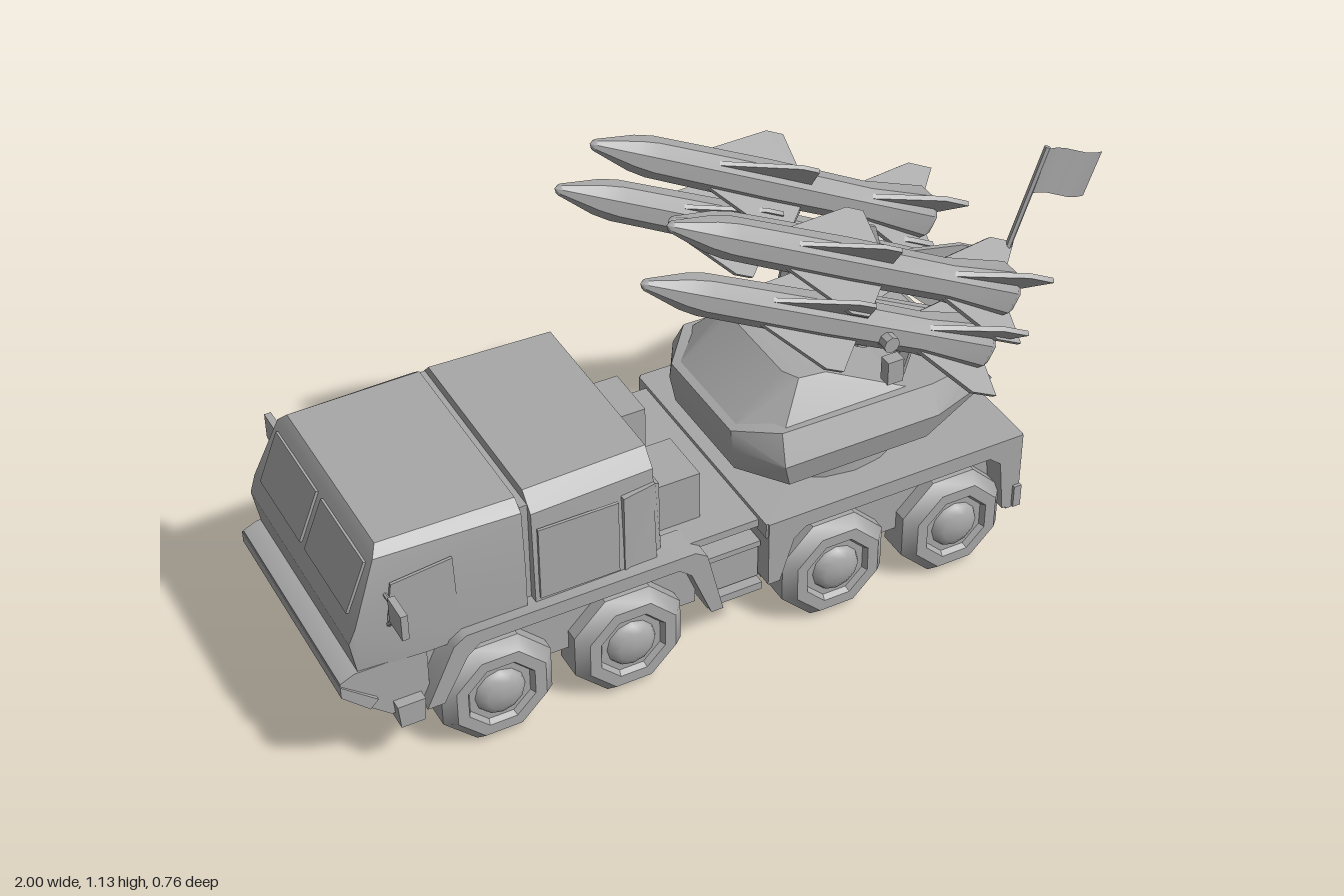
import * as THREE from 'three';
import { toCreasedNormals } from 'three/addons/utils/BufferGeometryUtils.js';
import { ConvexGeometry } from 'three/addons/geometries/ConvexGeometry.js';

export function createModel() {
  const root = new THREE.Group();
  root.name = 'missileTruck';
  const grey = new THREE.MeshStandardMaterial({ color: 0xa8a8a8, side: THREE.DoubleSide });
  grey.name = 'plain grey';

  const add = (name, geo, parent = root, crease = 0.6) => {
    const m = new THREE.Mesh(toCreasedNormals(geo, crease), grey);
    m.name = name;
    parent.add(m);
    return m;
  };
  const box = (name, x0, x1, y0, y1, z0, z1, parent) =>
    add(name, new THREE.BoxGeometry(x1 - x0, y1 - y0, Math.abs(z1 - z0))
      .translate((x0 + x1) / 2, (y0 + y1) / 2, (z0 + z1) / 2), parent);
  // side outline in x, y pushed from z0 to z1
  const prism = (name, pts, z0, z1, parent) => {
    const shape = new THREE.Shape(pts.map(p => new THREE.Vector2(p[0], p[1])));
    const g = new THREE.ExtrudeGeometry(shape, { depth: z1 - z0, bevelEnabled: false });
    return add(name, g.translate(0, 0, z0), parent);
  };
  // convex block from points [x, y, half width]
  const hull = (name, pts, crease) => add(name, new ConvexGeometry(
    pts.flatMap(([x, y, z]) => [new THREE.Vector3(x, y, z), new THREE.Vector3(x, y, -z)])), root, crease);
  const rod = (name, a, b, r, parent, sides = 6) => {
    const p = new THREE.Vector3(...a), d = new THREE.Vector3(...b).sub(p);
    const m = add(name, new THREE.CylinderGeometry(r, r, d.length(), sides), parent);
    m.position.copy(p).addScaledVector(d, 0.5);
    m.quaternion.setFromUnitVectors(new THREE.Vector3(0, 1, 0), d.normalize());
    return m;
  };
  const lathe = (pts, sides, phase = 0) =>
    new THREE.LatheGeometry(pts.map(p => new THREE.Vector2(p[0], p[1])), sides, phase);
  const sides = [1, -1];

  // Lower bodies
  prism('frontHull', [[-0.88, 0.14], [-0.14, 0.14], [-0.14, 0.335], [-0.95, 0.335], [-0.95, 0.21]], -0.25, 0.25);
  box('rearHull', 0.03, 0.66, 0.14, 0.33, -0.25, 0.25);
  box('rearDeck', 0.01, 0.69, 0.305, 0.345, -0.305, 0.305);
  box('rearPanel', 0.655, 0.688, 0.135, 0.345, -0.31, 0.31);
  box('middleFrame', -0.15, 0.04, 0.15, 0.33, -0.22, 0.22);
  box('middleDeck', -0.24, 0.02, 0.315, 0.335, -0.27, 0.27);

  // Fenders, steps and lamps on each side
  for (const s of sides) {
    const span = (a, b) => s > 0 ? [a, b] : [-b, -a];
    prism('frontFender', [[-0.82, 0.17], [-0.75, 0.32], [-0.72, 0.34], [-0.17, 0.34], [-0.14, 0.32], [-0.10, 0.15],
      [-0.13, 0.15], [-0.18, 0.28], [-0.21, 0.305], [-0.69, 0.305], [-0.72, 0.28], [-0.78, 0.17]], ...span(0.22, 0.31));
    prism('rearFender', [[0.015, 0.17], [0.015, 0.345], [0.688, 0.345], [0.688, 0.14], [0.645, 0.14], [0.63, 0.28],
      [0.60, 0.305], [0.11, 0.305], [0.08, 0.28], [0.045, 0.17]], ...span(0.22, 0.31));
    box('sideBox', -0.13, 0.01, 0.17, 0.26, s * 0.2, s * 0.27);
    box('step', -0.13, 0.01, 0.145, 0.165, s * 0.2, s * 0.29);
    box('ladderRung', -0.13, 0.01, 0.265, 0.28, s * 0.2, s * 0.28);
    box('tailLamp', 0.688, 0.695, 0.27, 0.318, s * 0.18, s * 0.247);
    box('sideMarker', 0.67, 0.69, 0.14, 0.2, s * 0.3, s * 0.318);
    prism('frontLamp', [[-0.88, 0.14], [-0.825, 0.14], [-0.82, 0.20], [-0.885, 0.20]], ...span(0.24, 0.305));
    box('equipmentBox', -0.24, -0.10, 0.335, 0.46, s * 0.06, s * 0.2);
  }

  // Wheels
  const tyre = lathe([[0, 0], [0.11, 0], [0.142, 0.025], [0.142, 0.098], [0.115, 0.125], [0.086, 0.125], [0.078, 0.112], [0, 0.112]], 8, Math.PI / 8);
  const hub = lathe([[0.062, 0.108], [0.055, 0.122], [0.038, 0.132], [0, 0.137]], 12);
  for (const x of [-0.645, -0.325, 0.2, 0.52]) for (const s of sides) {
    const wheel = new THREE.Group();
    wheel.name = 'wheel';
    add('tyre', tyre, wheel);
    add('hub', hub, wheel, 0.9);
    wheel.rotation.x = s * Math.PI / 2;
    wheel.position.set(x, 0.134, s * 0.183);
    root.add(wheel);
  }

  // Cab, rear cabin and front bumper
  hull('cab', [[-0.955, 0.31, 0.275], [-0.97, 0.40, 0.28], [-0.955, 0.44, 0.285], [-0.895, 0.59, 0.262], [-0.88, 0.612, 0.24],
    [-0.565, 0.612, 0.245], [-0.565, 0.59, 0.275], [-0.565, 0.44, 0.285], [-0.565, 0.31, 0.285], [-0.80, 0.31, 0.285]], 0.4);
  box('cabinGap', -0.58, -0.53, 0.32, 0.595, -0.262, 0.262);
  hull('rearCabin', [[-0.545, 0.33, 0.285], [-0.545, 0.58, 0.278], [-0.545, 0.62, 0.24], [-0.25, 0.62, 0.23],
    [-0.25, 0.58, 0.265], [-0.25, 0.33, 0.28]], 0.4);
  hull('cabinBack', [[-0.33, 0.33, 0.285], [-0.33, 0.54, 0.285], [-0.25, 0.545, 0.275], [-0.228, 0.52, 0.25], [-0.228, 0.33, 0.255]]);
  hull('bumper', [[-0.965, 0.315, 0.28], [-0.998, 0.30, 0.28], [-0.998, 0.27, 0.28], [-0.96, 0.225, 0.28], [-0.89, 0.165, 0.28], [-0.80, 0.165, 0.28], [-0.80, 0.315, 0.28]]);
  hull('bumperLip', [[-1.0, 0.295, 0.285], [-1.0, 0.265, 0.285], [-0.94, 0.21, 0.29], [-0.92, 0.23, 0.29]]);
  // windscreen panes follow the sloped front
  for (const s of sides) {
    const pane = box('windscreen', -0.004, 0.004, -0.065, 0.065, -0.115, 0.115);
    pane.position.set(-0.929, 0.512, s * 0.128);
    pane.rotation.z = -0.38;
    const z = s > 0 ? [0.28, 0.287] : [-0.287, -0.28];
    prism('sideDoor', [[-0.87, 0.53], [-0.73, 0.545], [-0.725, 0.40], [-0.77, 0.34], [-0.80, 0.41], [-0.885, 0.42]], ...z);
    prism('cabinHatch', [[-0.535, 0.35], [-0.345, 0.35], [-0.345, 0.54], [-0.535, 0.54]], ...(s > 0 ? [0.283, 0.29] : [-0.29, -0.283]));
    // mirror with its arm
    box('mirror', -0.888, -0.872, 0.455, 0.52, s * 0.31, s * 0.378);
    rod('mirrorArm', [-0.88, 0.41, s * 0.27], [-0.88, 0.46, s * 0.32], 0.006);
    rod('mirrorArm', [-0.88, 0.5, s * 0.26], [-0.88, 0.5, s * 0.32], 0.005);
  }

  // Turntable and turret
  add('turntable', new THREE.CylinderGeometry(0.235, 0.235, 0.05, 20).translate(0.28, 0.365, 0));
  hull('turretBase', [[0.02, 0.385, 0.14], [0.10, 0.385, 0.25], [0.46, 0.385, 0.25], [0.56, 0.385, 0.2],
    [0.01, 0.45, 0.15], [0.08, 0.45, 0.265], [0.48, 0.45, 0.265], [0.665, 0.445, 0.2],
    [0.01, 0.495, 0.14], [0.09, 0.52, 0.23], [0.48, 0.515, 0.23], [0.61, 0.505, 0.2]], 0.35);
  hull('turretTop', [[0.015, 0.49, 0.13], [0.09, 0.50, 0.23], [0.46, 0.50, 0.22], [0.15, 0.598, 0.12],
    [0.17, 0.598, 0.16], [0.24, 0.59, 0.16], [0.34, 0.545, 0.18]], 0.35);

  // Launcher frame tilted with the missiles
  const tilt = Math.asin(0.882);
  const dir = [0.882, -0.471];
  const frame = new THREE.Group();
  frame.name = 'launcherFrame';
  root.add(frame);
  for (const s of sides) {
    rod('launcherPost', [0.27, 0.55, s * 0.1], [0.32, 0.72, s * 0.12], 0.025, frame, 8);
    rod('launcherRail', [0.17, 0.83, s * 0.15], [0.57, 0.62, s * 0.15], 0.018, frame);
    rod('railLink', [0.34, 0.80, s * 0.17], [0.30, 0.67, s * 0.2], 0.02, frame);
    rod('lowerArm', [0.42, 0.53, s * 0.17], [0.44, 0.66, s * 0.19], 0.02, frame);
    box('sideActuator', 0.32, 0.36, 0.61, 0.67, s * 0.26, s * 0.29, frame);
  }
  rod('crossBar', [0.34, 0.70, -0.27], [0.34, 0.70, 0.27], 0.02, frame, 8);
  rod('centrePost', [0.36, 0.52, 0], [0.40, 0.73, 0], 0.03, frame, 8);

  // Missiles: tip at the origin, tail along -y before tilting
  const missile = (name, x, y, z, length, r, tailR, fin, turn) => {
    const g = new THREE.Group();
    g.name = name;
    add('missileBody', lathe([[0, -length], [tailR * 0.8, -length], [tailR, -length + 0.02], [r * 1.05, -length + 0.2],
      [r * 1.1, -length * 0.5], [r, -0.16], [r * 0.85, -0.11], [r * 0.28, -0.012], [0, 0]], 8, Math.PI / 8), g, 0.7);
    for (let i = 0; i < 4; i++) {
      const fins = new THREE.Group();
      fins.name = 'fins';
      fins.rotation.y = turn + i * Math.PI / 2;
      prism('wing', [[0.03, -0.29], [fin, -0.50], [fin, -0.55], [0.03, -0.60]], -0.005, 0.005, fins);
      prism('tailFin', [[0.03, -length + 0.23], [fin, -length + 0.04], [fin, -length - 0.035], [0.03, -length + 0.005]], -0.006, 0.006, fins);
      g.add(fins);
    }
    g.position.set(x, y, z);
    g.rotation.z = tilt;
    root.add(g);
  };
  for (const s of sides) {
    missile('upperMissile', -0.165, 1.125, s * 0.175, 0.98, 0.046, 0.066, 0.12, Math.PI / 4);
    missile('lowerMissile', -0.24, 1.02, s * 0.2, 0.98, 0.046, 0.066, 0.12, Math.PI / 4);
  }
  missile('centreMissile', -0.07, 1.0, 0, 0.86, 0.047, 0.045, 0.085, 0);

  // Flag on a leaning pole
  rod('flagPole', [0.655, 0.45, 0.1], [0.84, 0.965, 0.1], 0.008);
  box('poleFoot', 0.64, 0.69, 0.45, 0.5, 0.085, 0.115);
  const flag = new THREE.PlaneGeometry(0.17, 0.115, 6, 2);
  const p = flag.attributes.position;
  for (let i = 0; i < p.count; i++) p.setZ(i, 0.008 * Math.sin(p.getX(i) * 45));
  flag.computeVertexNormals();
  const cloth = add('flag', flag, root, 1);
  cloth.position.set(0.898, 0.878, 0.1);
  cloth.rotation.z = -0.37;

  return root;
}
